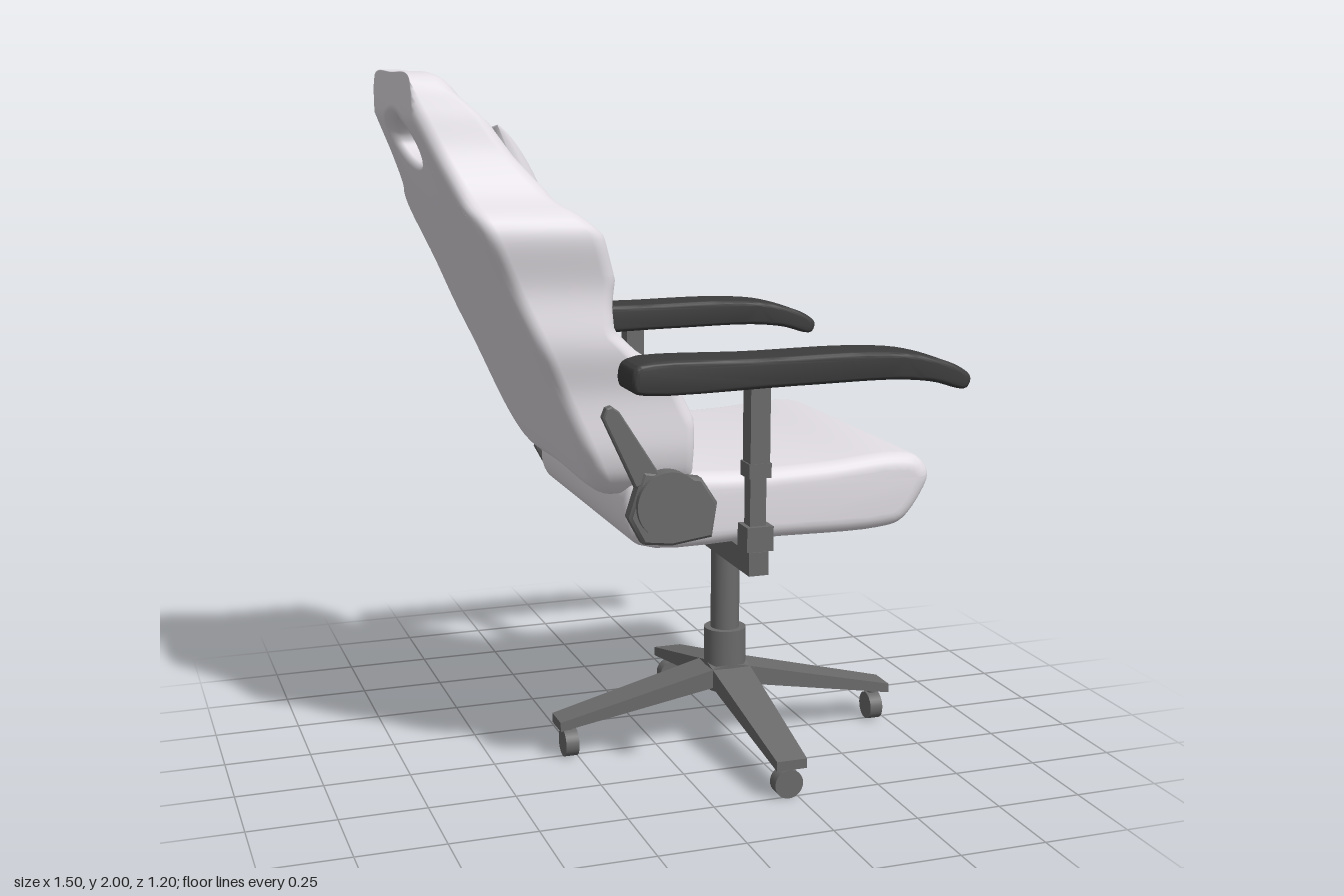
import * as THREE from 'three';
import { toCreasedNormals } from 'three/addons/utils/BufferGeometryUtils.js';

const mat = (color) => new THREE.MeshStandardMaterial({ color });
const cushion = mat(0xe2dee4), metal = mat(0x6a6a6a), rubber = mat(0x3c3c3c);
const smoothstep = THREE.MathUtils.smoothstep;

function add(parent, name, geo, material, x = 0, y = 0, z = 0) {
  const m = new THREE.Mesh(geo, material);
  m.name = name;
  m.position.set(x, y, z);
  parent.add(m);
  return m;
}

// Linear lookup in [y, value] pairs with rising y
function lookup(table, y) {
  let i = 0;
  while (i < table.length - 2 && y > table[i + 1][0]) i++;
  const [a, va] = table[i], [b, vb] = table[i + 1];
  return va + (vb - va) * THREE.MathUtils.clamp((y - a) / (b - a), 0, 1);
}

// Side profile swept across z, with rounded edges inside the given width
function sidePanel(points, width, r, smooth = true) {
  const v = points.map(([x, y]) => new THREE.Vector2(x, y));
  const shape = new THREE.Shape();
  if (smooth) {
    const c = new THREE.CatmullRomCurve3(v.map(p => new THREE.Vector3(p.x, p.y, 0)), true, 'centripetal');
    shape.setFromPoints(c.getPoints(72).slice(0, -1).map(p => new THREE.Vector2(p.x, p.y)));
  } else shape.setFromPoints(v);
  const g = new THREE.ExtrudeGeometry(shape, {
    depth: width - 2 * r, bevelThickness: r, bevelSize: r, bevelOffset: -r, bevelSegments: smooth ? 6 : 1,
  });
  g.translate(0, 0, r - width / 2);
  return toCreasedNormals(g, 0.6);
}

// Indexed grid surface with smooth normals; wraps when closed
function gridGeometry(rows, cols, point, closed) {
  const pos = [], idx = [];
  for (let i = 0; i < rows; i++) for (let j = 0; j < cols; j++) pos.push(...point(i, j));
  const ni = closed ? rows : rows - 1, nj = closed ? cols : cols - 1;
  for (let i = 0; i < ni; i++) for (let j = 0; j < nj; j++) {
    const i2 = (i + 1) % rows, j2 = (j + 1) % cols;
    const a = i * cols + j, b = i * cols + j2, c = i2 * cols + j, d = i2 * cols + j2;
    idx.push(a, b, c, b, d, c);
  }
  const g = new THREE.BufferGeometry();
  g.setAttribute('position', new THREE.Float32BufferAttribute(pos, 3));
  g.setIndex(idx);
  g.computeVertexNormals();
  return g;
}

// Reclined rear plane of the backrest
const rearX = (y) => -0.31 - 0.4536 * (y - 0.91);

// Half outline of the backrest [z, y], top to bottom
const outline = [[0, 2], [0.2, 2], [0.245, 1.985], [0.28, 1.91], [0.32, 1.79], [0.385, 1.69], [0.46, 1.645],
  [0.485, 1.6], [0.465, 1.45], [0.48, 1.3], [0.457, 1.17], [0.455, 1.0], [0.43, 0.93], [0.36, 0.88], [0, 0.88]];
const halfWidth = outline.slice(1, -1).map(([z, y]) => [y, z]).reverse();
// Side bolster depth over height
const bolster = [[0.88, 0.28], [0.99, 0.305], [1.1, 0.355], [1.21, 0.35], [1.28, 0.275], [1.34, 0.24], [1.4, 0.265],
  [1.47, 0.307], [1.59, 0.325], [1.68, 0.26], [1.77, 0.22], [1.86, 0.2], [1.92, 0.16], [2, 0.145]];

function frontDepth(y, z) {
  const w = Math.max(lookup(halfWidth, y), 0.24);
  const t = smoothstep(Math.abs(z), Math.min(0.25, w - 0.13), w - 0.05);
  return 0.15 + (lookup(bolster, y) - 0.15) * t;
}

// Ring surface: from the head opening over the front, around the edge and along the rear
function backrestGeometry() {
  const half = outline.map(([z, y]) => new THREE.Vector3(z, y, 0));
  const mirrored = half.slice(1, -1).reverse().map(p => new THREE.Vector3(-p.x, p.y, 0));
  const rim = new THREE.CatmullRomCurve3([...half, ...mirrored], true, 'centripetal').getSpacedPoints(200);
  const FRONT = 32, ROUND = 5, REAR = 5;
  const cols = 1 + FRONT + 1 + 2 * (ROUND + 1) + REAR + 1;
  return gridGeometry(200, cols, (i, j) => {
    const { x: pz, y: py } = rim[i];
    const cy = 1.81, len = Math.hypot(pz, py - cy), dz = pz / len, dy = (py - cy) / len;
    const hole = (grow) => [(0.15 + grow) * dz, cy + ((dy > 0 ? 0.07 : 0.055) + grow) * dy];
    const inset = (r) => [pz * (1 - r / 0.45), 1.44 + (py - 1.44) * (1 - r / 0.56)];
    const out = ([z, y], d) => [Math.max(rearX(y) + d, -0.75), y, z];
    const mix = (a, b, t) => [a[0] + (b[0] - a[0]) * t, a[1] + (b[1] - a[1]) * t];
    const R = 0.045, edge = inset(R), D = frontDepth(edge[1], edge[0]);
    if (j === 0) return out(hole(0), 0.12);
    j -= 1;
    if (j <= FRONT) {
      const p = mix(hole(0.025), edge, j / FRONT);
      return out(p, frontDepth(p[1], p[0]));
    }
    j -= FRONT + 1;
    if (j <= ROUND) {
      const a = ((j + 0.5) / (ROUND + 0.5)) * Math.PI / 2;
      return out(inset(R * (1 - Math.sin(a))), D - R * (1 - Math.cos(a)));
    }
    j -= ROUND + 1;
    if (j <= ROUND) {
      const a = (j / ROUND) * Math.PI / 2;
      return out(inset(R * (1 - Math.cos(a))), R * (1 - Math.sin(a)));
    }
    j -= ROUND + 1;
    if (j < REAR) return out(mix(edge, hole(0.02), (j + 0.3) / (REAR - 0.7)), 0);
    return out(hole(0), 0.025);
  }, true);
}

// Raised centre panel with an arched top, leaning with the backrest
function centrePanelGeometry() {
  const s = new THREE.Shape();
  s.moveTo(-0.25, 0.9);
  s.lineTo(0.25, 0.9);
  s.lineTo(0.245, 1.48);
  s.quadraticCurveTo(0.23, 1.57, 0.15, 1.59);
  s.lineTo(-0.15, 1.59);
  s.quadraticCurveTo(-0.23, 1.57, -0.245, 1.48);
  const g = new THREE.ExtrudeGeometry(s, {
    depth: 0.04, bevelThickness: 0.015, bevelSize: 0.015, bevelOffset: -0.015, bevelSegments: 4,
  });
  g.translate(0, 0, 0.105);
  g.rotateY(Math.PI / 2);
  const p = g.attributes.position;
  for (let i = 0; i < p.count; i++) p.setX(i, p.getX(i) + rearX(p.getY(i)));
  return toCreasedNormals(g, 0.6);
}

// One face of the pillow; side = 1 front, -1 rear
function pillowFace(side) {
  const n = 25;
  return gridGeometry(n, n, (i, j) => {
    const u = -Math.cos((i / (n - 1)) * Math.PI) * side, v = -Math.cos((j / (n - 1)) * Math.PI);
    const puff = 0.08 * Math.pow(Math.max((1 - u * u) * (1 - v * v), 0), 0.4);
    const y = v * (0.135 + 0.02 * u * u);
    return [-0.4536 * y + side * puff, y, u * (0.26 + 0.02 * v * v)];
  }, false);
}

// Tapered sloping base leg pointing along +x
function legGeometry() {
  const g = new THREE.BoxGeometry(0.53, 0.04, 1);
  g.translate(0.265, 0, 0);
  const p = g.attributes.position;
  for (let i = 0; i < p.count; i++) {
    const tip = p.getX(i) > 0.3, top = p.getY(i) > 0;
    p.setY(i, tip ? (top ? 0.12 : 0.092) : (top ? 0.25 : 0.19));
    p.setZ(i, Math.sign(p.getZ(i)) * (tip ? 0.045 : 0.062));
  }
  g.computeVertexNormals();
  return g;
}

export function createModel() {
  const chair = new THREE.Group();
  chair.name = 'officeChair';

  // Cushions
  add(chair, 'seat', sidePanel([[-0.19, 0.745], [0.2, 0.735], [0.52, 0.735], [0.585, 0.75], [0.645, 0.82], [0.67, 0.885],
    [0.635, 0.935], [0.56, 0.95], [0.35, 0.937], [0.1, 0.932], [-0.15, 0.937], [-0.215, 0.91], [-0.23, 0.8]], 0.9, 0.045), cushion);
  add(chair, 'backrest', backrestGeometry(), cushion);
  add(chair, 'backrestPanel', centrePanelGeometry(), cushion);
  const pillow = new THREE.Group();
  pillow.name = 'headPillow';
  pillow.position.set(-0.455, 1.712, -0.015);
  add(pillow, 'pillowFront', pillowFace(1), cushion);
  add(pillow, 'pillowRear', pillowFace(-1), cushion);
  chair.add(pillow);

  // Armrests and recliner joints on both sides
  add(chair, 'armCrossBar', new THREE.BoxGeometry(0.056, 0.065, 1.11), metal, 0.103, 0.703, 0);
  const padProfile = [[-0.26, 1.2], [-0.24, 1.19], [0.2, 1.19], [0.48, 1.19], [0.59, 1.178], [0.69, 1.155], [0.703, 1.185],
    [0.67, 1.215], [0.55, 1.255], [0.4, 1.27], [0.1, 1.27], [-0.24, 1.27], [-0.26, 1.255]];
  const plate = [[-0.2, 0.965], [-0.035, 0.935], [0.01, 0.865], [-0.005, 0.77], [-0.12, 0.755], [-0.2, 0.765], [-0.24, 0.84]];
  const lever = [[-0.3, 1.14], [-0.285, 1.145], [-0.265, 1.13], [-0.15, 0.95], [-0.22, 0.92], [-0.31, 1.115]];
  for (const s of [1, -1]) {
    const side = new THREE.Group();
    side.name = s > 0 ? 'leftArm' : 'rightArm';
    add(side, 'armPad', sidePanel(padProfile, 0.143, 0.014), rubber, 0, 0, s * 0.527);
    add(side, 'armPost', new THREE.BoxGeometry(0.056, 0.25, 0.056), metal, 0.103, 1.08, s * 0.53);
    add(side, 'armSleeve', new THREE.BoxGeometry(0.046, 0.3, 0.042), metal, 0.103, 0.83, s * 0.525);
    add(side, 'upperCollar', new THREE.BoxGeometry(0.064, 0.04, 0.064), metal, 0.103, 0.96, s * 0.528);
    add(side, 'lowerCollar', new THREE.BoxGeometry(0.076, 0.068, 0.07), metal, 0.105, 0.772, s * 0.525);
    add(side, 'reclinerPlate', sidePanel(plate, 0.05, 0.008, false), metal, 0, 0, s * 0.465);
    add(side, 'reclinerLever', sidePanel(lever, 0.03, 0.004, false), metal, 0, 0, s * 0.47);
    add(side, 'reclinerDisc', new THREE.CylinderGeometry(0.092, 0.092, 0.05, 40), metal, -0.13, 0.87, s * 0.48)
      .rotation.x = Math.PI / 2;
    chair.add(side);
  }

  // Gas lift and four-legged base
  const base = new THREE.Group();
  base.name = 'base';
  base.position.x = 0.22;
  add(base, 'gasLift', new THREE.CylinderGeometry(0.043, 0.043, 0.42, 32), metal, 0, 0.54, 0);
  add(base, 'liftHousing', new THREE.CylinderGeometry(0.063, 0.063, 0.12, 32), metal, 0, 0.29, 0);
  add(base, 'hub', new THREE.CylinderGeometry(0.06, 0.05, 0.09, 32), metal, 0, 0.2, 0);
  for (let k = 0; k < 4; k++) {
    const leg = new THREE.Group();
    leg.name = 'leg' + (k + 1);
    leg.rotation.y = k * Math.PI / 2;
    add(leg, 'legBeam', legGeometry(), metal);
    add(leg, 'casterStem', new THREE.CylinderGeometry(0.012, 0.012, 0.04, 12), metal, 0.492, 0.085, 0);
    add(leg, 'casterWheel', new THREE.CylinderGeometry(0.042, 0.042, 0.04, 28), metal, 0.492, 0.042, 0)
      .rotation.z = Math.PI / 2;
    base.add(leg);
  }
  chair.add(base);
  return chair;
}
